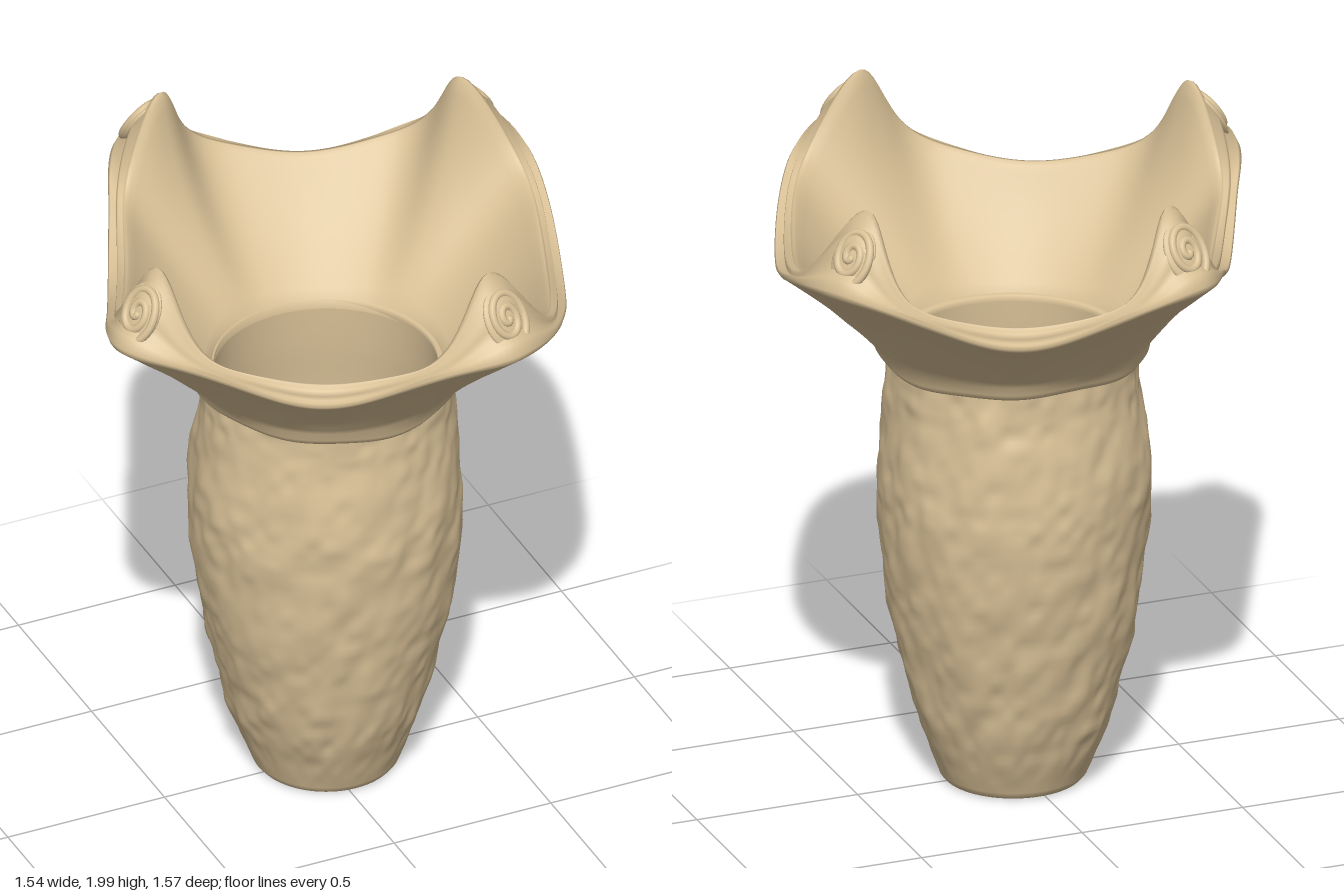
import * as THREE from 'three';

const clay = new THREE.MeshStandardMaterial({ color: 0xd8c096 });
clay.name = 'sand clay';

// Joins rings of [radius, height] cross-sections, one per angle, into a closed surface.
function loft(angles, section) {
  const pos = [], index = [];
  let rows = 0;
  angles.forEach((a, i) => {
    const pts = section(a, i);
    rows = pts.length;
    for (const [r, y] of pts) pos.push(r * Math.cos(a), y, r * Math.sin(a));
  });
  const n = angles.length;
  for (let i = 0; i < n; i++) {
    for (let j = 0; j < rows - 1; j++) {
      const a = i * rows + j, c = ((i + 1) % n) * rows + j;
      index.push(a, a + 1, c, c, a + 1, c + 1);
    }
  }
  const g = new THREE.BufferGeometry();
  g.setAttribute('position', new THREE.Float32BufferAttribute(pos, 3));
  g.setIndex(index);
  g.computeVertexNormals();
  return g;
}

function mesh(name, geometry) {
  const m = new THREE.Mesh(geometry, clay);
  m.name = name;
  return m;
}

// Seeded smooth noise, periodic in u, for the hand-worked clay surface.
function hash(i, j, seed) {
  const s = Math.sin(i * 127.1 + j * 311.7 + seed * 74.7) * 43758.5453;
  return s - Math.floor(s);
}
function noise(u, v, period, seed) {
  const i = Math.floor(u), j = Math.floor(v);
  const f = (t) => t * t * (3 - 2 * t);
  const fu = f(u - i), fv = f(v - j);
  const h = (a, b) => hash(a % period, b, seed);
  const low = h(i, j) * (1 - fu) + h(i + 1, j) * fu;
  const high = h(i, j + 1) * (1 - fu) + h(i + 1, j + 1) * fu;
  return low * (1 - fv) + high * fv - 0.5;
}

// Body: rough outside wall, flat foot, smooth hollow inside.
function bodyGeometry() {
  const toCurve = (pts) => new THREE.SplineCurve(pts.map((p) => new THREE.Vector2(...p)));
  const outer = toCurve([[0.215, 0.015], [0.285, 0.2], [0.335, 0.4], [0.375, 0.62], [0.395, 0.85],
    [0.394, 1.0], [0.372, 1.2], [0.364, 1.28], [0.36, 1.36]]).getPoints(90);
  const inner = toCurve([[0.325, 1.36], [0.33, 1.2], [0.345, 0.95], [0.32, 0.6],
    [0.25, 0.25], [0.17, 0.1], [0, 0.08]]).getPoints(30);
  const angles = Array.from({ length: 180 }, (_, i) => (i / 180) * Math.PI * 2);
  return loft(angles, (a, i) => {
    const u = i / 180;
    const wall = outer.map((p) => {
      const slant = (u * 30 + p.y * 3) % 30;
      const bump = 0.012 * noise(slant, p.y * 9, 30, 1)
        + 0.008 * noise(u * 60, p.y * 24, 60, 2) + 0.015 * noise(u * 8, p.y * 3, 8, 3);
      return [p.x + bump * Math.min(1, p.y * 5), p.y];
    });
    return [[0, 0], [0.195, 0], [0.205, 0.003], ...wall, ...inner.map((p) => [p.x, p.y])];
  });
}

// Square flared mouth: corner directions (degrees) and the mid-side radius after each corner.
const corners = [-111, -30, 71, 162];
const sideRadii = [0.69, 0.68, 0.63, 0.63];
const cornerRadius = 0.82;
const steps = 64;

function mouthGeometry() {
  const angles = [], rim = [];
  corners.forEach((deg, k) => {
    const next = k < 3 ? corners[k + 1] : corners[0] + 360;
    const a = sideRadii[k];
    const n = 1 / (0.5 - Math.log2(cornerRadius / a));
    for (let s = 0; s < steps; s++) {
      const t = s / steps;
      angles.push(THREE.MathUtils.degToRad(deg + (next - deg) * t));
      const q = (t - 0.5) * Math.PI / 2; // angle from the middle of the side
      const fromCorner = Math.PI / 4 - Math.abs(q);
      const r = a / Math.pow(Math.cos(q) ** n + Math.abs(Math.sin(q)) ** n, 1 / n);
      const peak = Math.exp(-((fromCorner / 0.18) ** 2));
      const swell = Math.cos(2 * fromCorner) ** 2;
      rim.push({
        peak,
        out: [r, 1.61 + 0.15 * swell],
        inn: [r - 0.045 - 0.1 * peak, 1.67 + 0.08 * swell + 0.24 * peak],
      });
    }
  });
  // Rolled lip: position across the lip and height above it
  const lip = [[0, -0.004], [0.05, 0.01], [0.2, 0.014], [0.36, -0.008], [0.5, 0.002],
    [0.68, 0.01], [0.84, -0.005], [0.95, 0.002], [1, -0.004]];
  return loft(angles, (a, i) => {
    const { out, inn, peak } = rim[i];
    const wave = 0.006 * Math.sin(a * 3) + 0.004 * Math.sin(a * 7 + 1);
    const pts = [[0.345, 1.325 + wave], [0.385, 1.33 + wave], [0.4, 1.35 + wave], [0.402, 1.375]];
    // outside of the flare
    for (let j = 1; j <= 10; j++) {
      const t = j / 10.3;
      const bend = -0.015 * Math.sin(Math.PI * t);
      const rough = 0.008 * noise((i / angles.length) * 24, t * 5, 24, 5) * Math.sin(Math.PI * t);
      pts.push([0.402 + (out[0] - 0.402) * t + bend + rough, 1.375 + (out[1] - 1.375) * t]);
    }
    // lip
    const dr = inn[0] - out[0], dy = inn[1] - out[1], len = Math.hypot(dr, dy);
    for (const [s, h] of lip) pts.push([out[0] + dr * s + (dy / len) * h, out[1] + dy * s - (dr / len) * h]);
    // inside of the flare
    const top = [inn[0] - 0.014, inn[1] - 0.012];
    for (let j = 0; j <= 14; j++) {
      const t = 1 - j / 14;
      const bend = (0.015 + 0.055 * peak) * Math.sin(Math.PI * t);
      pts.push([0.335 + (top[0] - 0.335) * t + bend, 1.36 + (top[1] - 1.36) * t]);
    }
    pts.push([0.33, 1.33]);
    return pts;
  });
}

// Corner scroll: a shallow pad with a coiled roll of clay on it, facing local +z.
function scroll() {
  const g = new THREE.Group();
  const pad = mesh('scrollPad', new THREE.SphereGeometry(0.085, 32, 16));
  pad.scale.set(0.85, 1.1, 0.22);
  pad.position.z = -0.012;
  const pts = [];
  for (let i = 0; i <= 48; i++) {
    const t = i / 48, a = -Math.PI / 2 + t * Math.PI * 4.2, r = 0.076 * (1 - t) + 0.008;
    pts.push(new THREE.Vector3(0.82 * r * Math.cos(a), 1.1 * r * Math.sin(a), 0.006 * t - 0.002));
  }
  const coil = mesh('scrollCoil', new THREE.TubeGeometry(new THREE.CatmullRomCurve3(pts), 110, 0.0125, 10));
  const tip = mesh('scrollTip', new THREE.SphereGeometry(0.0125, 12, 8));
  tip.position.copy(pts[48]);
  g.add(pad, coil, tip);
  return g;
}

export function createModel() {
  const model = new THREE.Group();
  model.name = 'vase';

  const body = mesh('body', bodyGeometry());
  body.position.set(0.02, 0, -0.01);

  const mouth = new THREE.Group();
  mouth.name = 'mouth';
  mouth.position.x = 0.02;
  mouth.add(mesh('flaredRim', mouthGeometry()));

  // one scroll on each corner, leaning back with the lip
  for (const deg of corners) {
    const a = THREE.MathUtils.degToRad(deg);
    const s = scroll();
    s.name = 'cornerScroll';
    s.position.set(0.748 * Math.cos(a), 1.868, 0.748 * Math.sin(a));
    s.rotation.set(-0.53, Math.PI / 2 - a, 0, 'YXZ');
    mouth.add(s);
  }

  model.add(body, mouth);
  return model;
}
